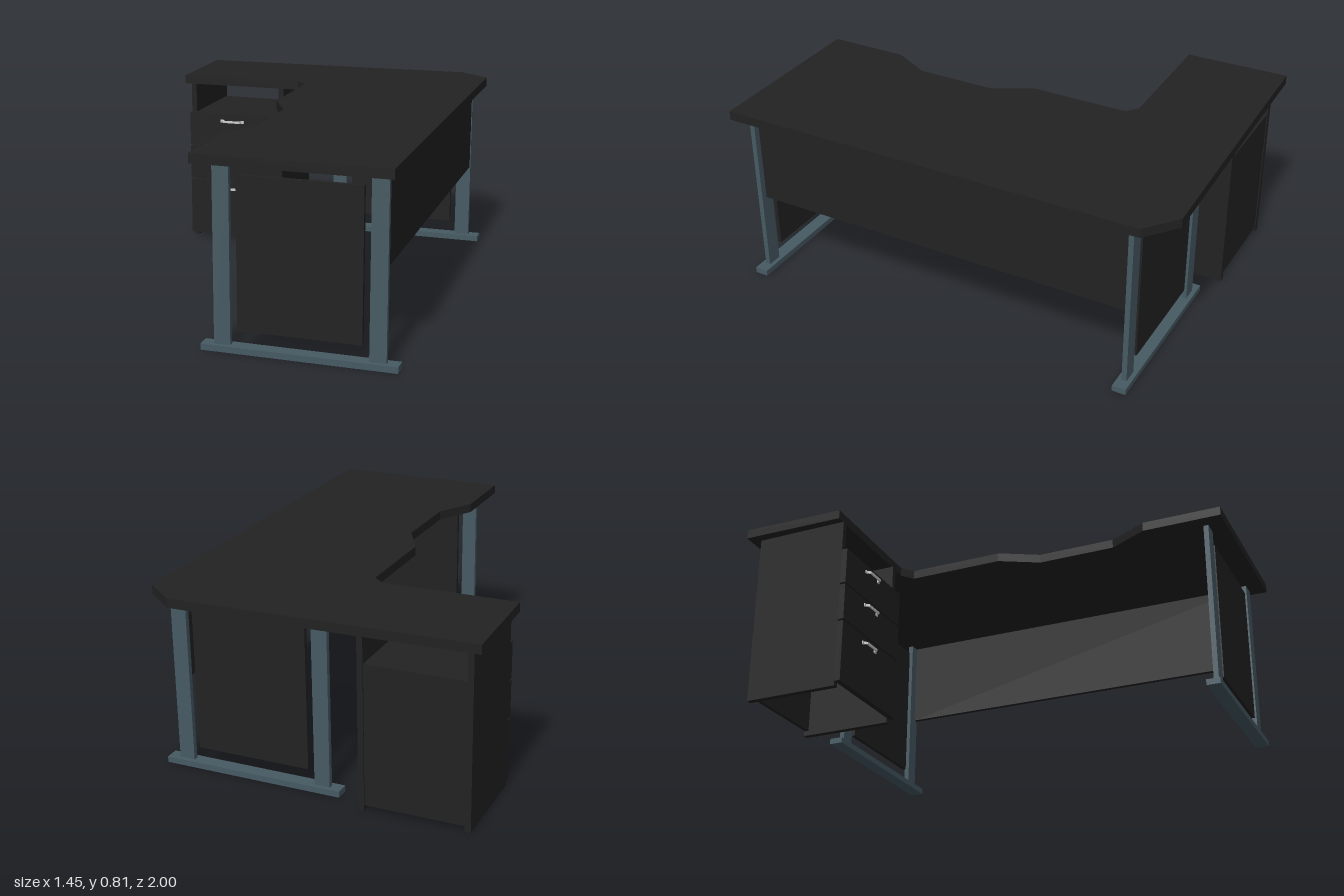
import * as THREE from 'three';

const dark = new THREE.MeshStandardMaterial({ color: 0x222222 });
const steel = new THREE.MeshStandardMaterial({ color: 0x465a63 });
const silver = new THREE.MeshStandardMaterial({ color: 0xc4c8c4 });

// Box given by its limits along each axis
function box(parent, name, mat, [x0, x1], [y0, y1], [z0, z1]) {
  const mesh = new THREE.Mesh(new THREE.BoxGeometry(x1 - x0, y1 - y0, z1 - z0), mat);
  mesh.position.set((x0 + x1) / 2, (y0 + y1) / 2, (z0 + z1) / 2);
  mesh.name = name;
  parent.add(mesh);
  return mesh;
}

// Flat outline in x and z, extruded downwards from the given height
function slab(name, mat, points, top, thickness) {
  const shape = new THREE.Shape(points.map(([x, z]) => new THREE.Vector2(x, z)));
  const geometry = new THREE.ExtrudeGeometry(shape, { depth: thickness, bevelEnabled: false });
  geometry.rotateX(Math.PI / 2);
  const mesh = new THREE.Mesh(geometry, mat);
  mesh.position.y = top;
  mesh.name = name;
  return mesh;
}

// Steel frame: foot rail, two posts and an infill panel
function legFrame(name, x, z) {
  const frame = new THREE.Group();
  frame.name = name;
  box(frame, 'footRail', steel, [-0.398, 0.398], [0, 0.026], [-0.03, 0.03]);
  for (const side of [-1, 1]) {
    const post = box(frame, 'post', steel, [-0.034, 0.034], [0.026, 0.767], [-0.011, 0.011]);
    post.position.x = side * 0.314;
  }
  box(frame, 'infillPanel', dark, [-0.252, 0.252], [0.088, 0.714], [-0.009, 0.009]);
  frame.position.set(x, 0, z);
  return frame;
}

// Bow handle: slanted arms, straight grip and end plates
function handle(y) {
  const group = new THREE.Group();
  group.name = 'drawerHandle';
  const outline = [[-0.052, 0], [-0.042, 0.02], [0.042, 0.02], [0.052, 0],
    [0.044, 0], [0.038, 0.013], [-0.038, 0.013], [-0.044, 0]];
  group.add(slab('grip', silver, outline, 0.005, 0.01));
  for (const s of [-1, 1]) {
    box(group, 'endPlate', silver, [s * 0.052 - 0.007, s * 0.052 + 0.007], [-0.007, 0.007], [-0.002, 0.005]);
  }
  group.position.set(-0.463, y, -0.476);
  return group;
}

export function createModel() {
  const desk = new THREE.Group();
  desk.name = 'cornerDesk';

  // L-shaped worktop with a sitting recess
  desk.add(slab('worktop', dark, [
    [-0.725, -0.965], [-0.2, -0.978], [0.56, -1], [0.698, -0.89], [0.705, 1], [-0.09, 1],
    [-0.09, 0.65], [0, 0.48], [0, 0.13], [-0.09, -0.04],
    [-0.09, -0.47], [-0.14, -0.512], [-0.716, -0.505],
  ], 0.805, 0.04));

  // Leg frames and the long modesty panel between them
  desk.add(legFrame('frontLegFrame', 0.322, 0.916));
  desk.add(legFrame('rearLegFrame', 0.298, -0.835));
  box(desk, 'modestyPanel', dark, [0.622, 0.642], [0.37, 0.766], [-0.824, 0.905]);

  // Drawer pedestal, open above its top board and underneath
  const pedestal = new THREE.Group();
  pedestal.name = 'drawerPedestal';
  desk.add(pedestal);
  for (const x of [-0.682, -0.235]) {
    box(pedestal, 'sidePanel', dark, [x, x + 0.025], [0, 0.766], [-0.92, -0.502]);
  }
  box(pedestal, 'topBoard', dark, [-0.657, -0.235], [0.605, 0.628], [-0.915, -0.502]);
  box(pedestal, 'backPanel', dark, [-0.657, -0.235], [0.022, 0.605], [-0.915, -0.897]);

  // Drawer fronts: bottom, top, handle height
  for (const [y0, y1, grip] of [[0.02, 0.291, 0.257], [0.299, 0.461, 0.435], [0.469, 0.629, 0.595]]) {
    box(pedestal, 'drawerFront', dark, [-0.682, -0.21], [y0, y1], [-0.502, -0.476]);
    pedestal.add(handle(grip));
  }
  return desk;
}
